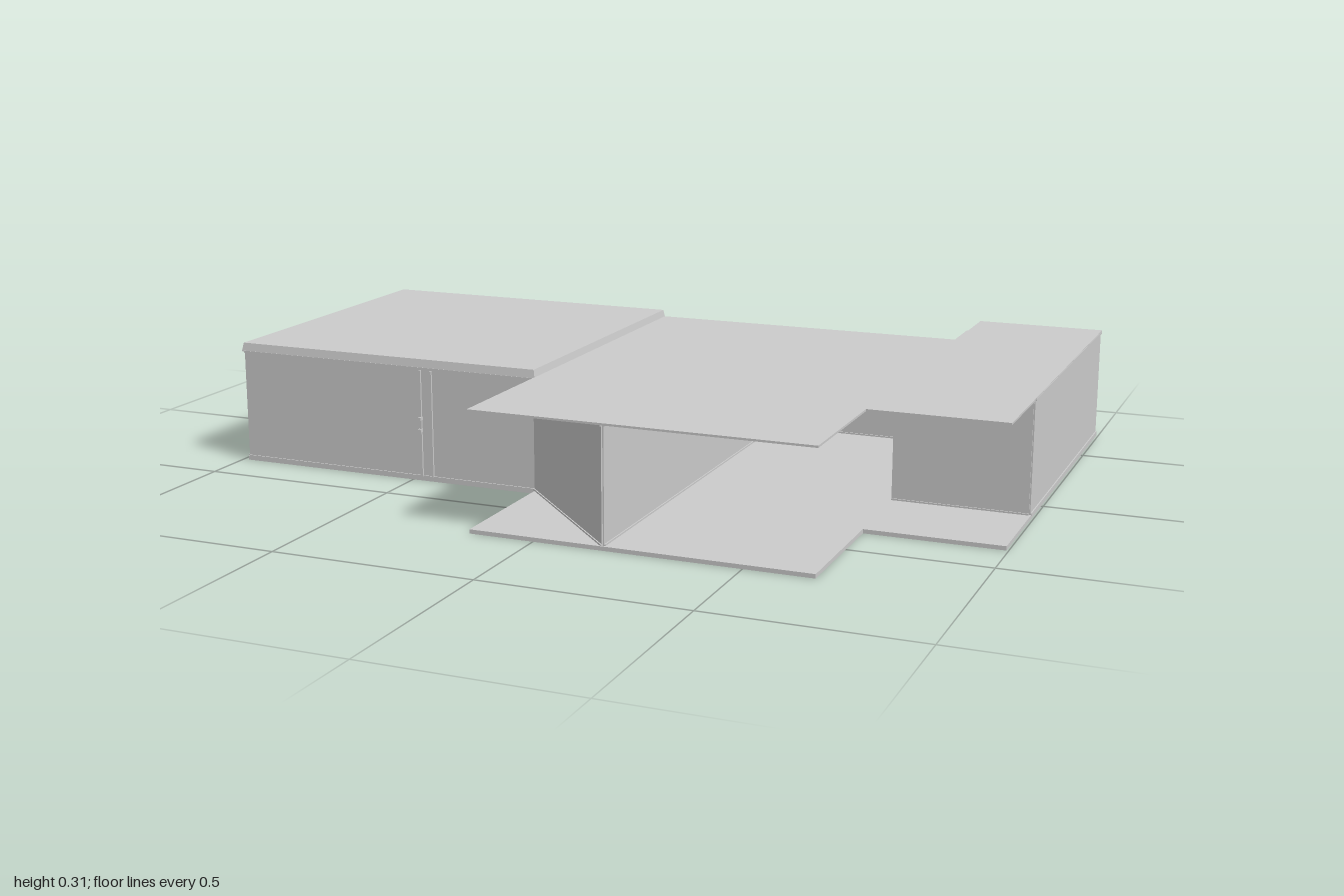
import * as THREE from 'three';

const material = new THREE.MeshStandardMaterial({ color: 0xcccccc, flatShading: true, side: THREE.DoubleSide });

function box(parent, name, w, h, d, x, y, z) {
  const mesh = new THREE.Mesh(new THREE.BoxGeometry(w, h, d), material);
  mesh.name = name;
  mesh.position.set(x, y, z);
  parent.add(mesh);
  return mesh;
}

// Thin horizontal slab from a plan outline of [x, z] points.
function slab(parent, name, outline, y, thickness) {
  const shape = new THREE.Shape(outline.map(([x, z]) => new THREE.Vector2(x, -z)));
  const geometry = new THREE.ExtrudeGeometry(shape, { depth: thickness, bevelEnabled: false });
  geometry.rotateX(-Math.PI / 2);
  const mesh = new THREE.Mesh(geometry, material);
  mesh.name = name;
  mesh.position.y = y;
  parent.add(mesh);
}

// Upright wall between two plan points, with a skirting and a top moulding.
function wall(parent, name, [x0, z0], [x1, z1]) {
  const group = new THREE.Group();
  group.name = name;
  const length = Math.hypot(x1 - x0, z1 - z0);
  box(group, 'panel', length, 0.28, 0.006, 0, 0.145, 0);
  box(group, 'skirting', length, 0.006, 0.012, 0, 0.011, 0);
  box(group, 'moulding', length, 0.006, 0.012, 0, 0.286, 0);
  group.position.set((x0 + x1) / 2, 0, (z0 + z1) / 2);
  group.rotation.y = -Math.atan2(z1 - z0, x1 - x0);
  parent.add(group);
}

// Barred window facing +z, centred on its own origin.
function barredWindow(width, height) {
  const group = new THREE.Group();
  group.name = 'barredWindow';
  for (const s of [-1, 1]) {
    box(group, 'frameSide', 0.012, height, 0.014, s * (width / 2 - 0.006), 0, 0.007);
    box(group, 'frameRail', width, 0.01, 0.014, 0, s * (height / 2 - 0.005), 0.007);
  }
  box(group, 'sill', width, 0.012, 0.018, 0, -height / 2 + 0.006, 0.009);
  for (let i = 1; i <= 6; i++) {
    box(group, 'bar', 0.008, height, 0.008, -width / 2 + (width * i) / 7, 0, 0.007);
  }
  return group;
}

export function createModel() {
  const model = new THREE.Group();
  model.name = 'building';

  // Floors and roofs
  const room = [[-0.985, 0.37], [-0.16, 0.37], [-0.16, -0.45], [-0.985, -0.45]];
  const hall = [
    [-0.16, 0.715], [0.665, 0.715], [0.665, 0.37], [0.995, 0.37],
    [0.995, -0.72], [0.665, -0.72], [0.665, -0.45], [-0.16, -0.45],
  ];
  slab(model, 'roomFloor', room, 0, 0.01);
  slab(model, 'hallFloor', hall, 0, 0.01);
  slab(model, 'hallRoof', hall, 0.286, 0.005);

  // Raised room roof with a slightly tapered edge
  const roof = box(model, 'roomRoof', 0.83, 0.022, 0.825, -0.573, 0.298, -0.04);
  const p = roof.geometry.attributes.position;
  for (let i = 0; i < p.count; i++) {
    if (p.getY(i) > 0) p.setXYZ(i, p.getX(i) * 0.99, p.getY(i), p.getZ(i) * 0.99);
  }

  // Room walls
  wall(model, 'roomFrontWall', [-0.98, 0.367], [-0.16, 0.367]);
  wall(model, 'roomRightWall', [-0.98, -0.447], [-0.98, 0.367]);
  wall(model, 'roomHallWall', [-0.16, -0.447], [-0.16, 0.367]);
  wall(model, 'backWall', [-0.98, -0.447], [0.66, -0.447]);

  // Hall walls, with the front left open
  wall(model, 'hallDiagonalWall', [-0.16, 0.37], [0.17, 0.71]);
  wall(model, 'hallInnerWall', [0.17, 0.71], [0.17, -0.447]);
  wall(model, 'wingFrontWall', [0.66, 0.115], [0.99, 0.115]);
  wall(model, 'wingSideWall', [0.99, 0.115], [0.99, -0.715]);
  wall(model, 'wingDiagonalWall', [0.99, -0.715], [0.665, -0.59]);
  wall(model, 'wingReturnWall', [0.665, -0.59], [0.665, -0.447]);

  // Barred windows: two on the back wall, two on the room's right wall
  for (const x of [-0.775, -0.37]) {
    const w = barredWindow(0.34, 0.145);
    w.position.set(x, 0.182, -0.449);
    w.rotation.y = Math.PI;
    model.add(w);
  }
  for (const z of [-0.24, 0.165]) {
    const w = barredWindow(0.335, 0.145);
    w.position.set(-0.983, 0.182, z);
    w.rotation.y = -Math.PI / 2;
    model.add(w);
  }

  // Door posts and handles on the room front
  for (const x of [-0.472, -0.442]) box(model, 'doorPost', 0.005, 0.27, 0.006, x, 0.147, 0.372);
  for (const y of [0.13, 0.16]) box(model, 'doorHandle', 0.008, 0.008, 0.012, -0.472, y, 0.376);

  return model;
}
